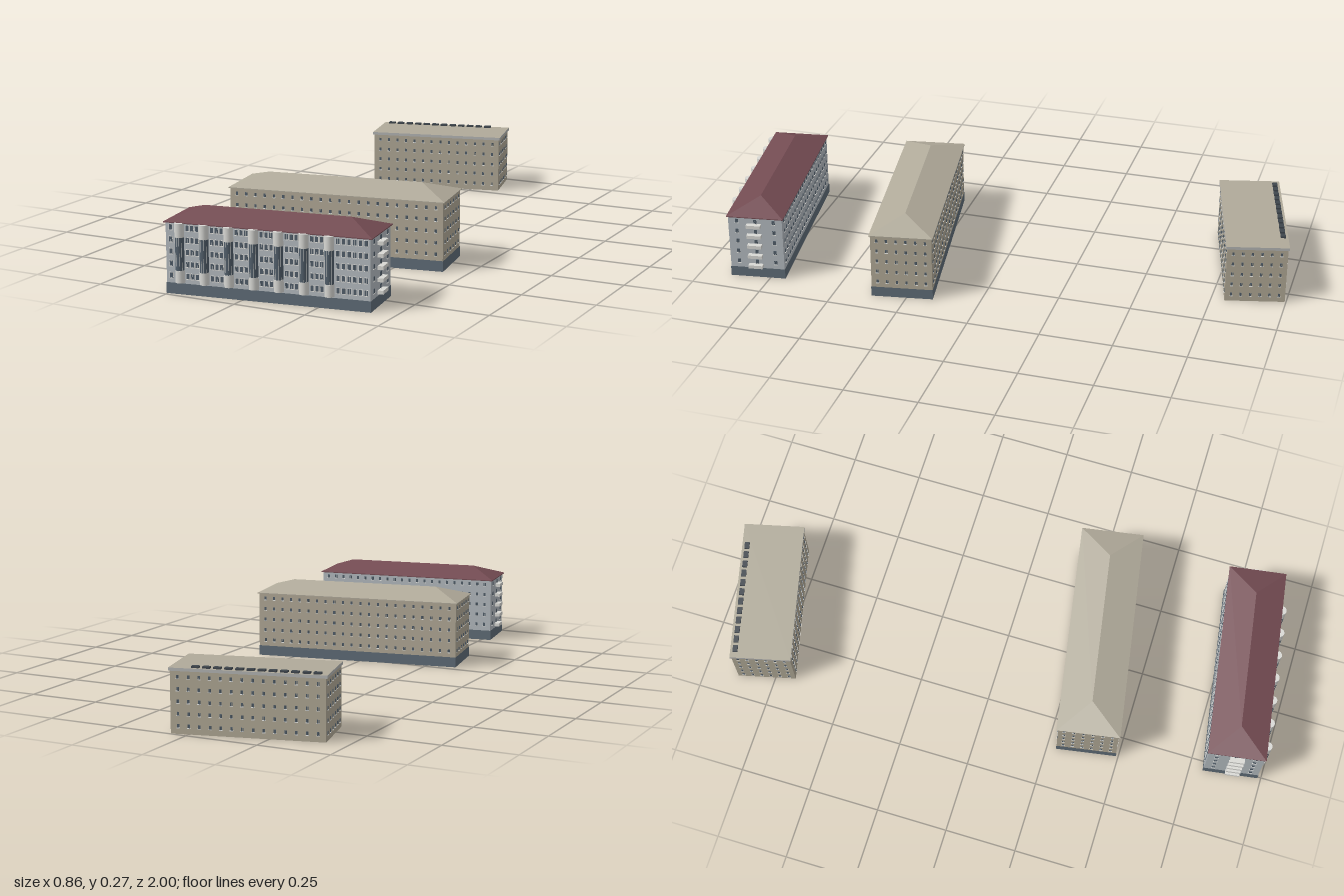
import * as THREE from 'three';
import { mergeGeometries } from 'three/addons/utils/BufferGeometryUtils.js';

const mat = (name, color, side = THREE.FrontSide) => {
  const m = new THREE.MeshStandardMaterial({ color, side });
  m.name = name;
  return m;
};

const FLOOR = 0.039; // storey height

export function createModel() {
  const M = {
    greyWall: mat('blue grey wall', 0xb2b9be, THREE.DoubleSide),
    beigeWall: mat('beige wall', 0xb0a895, THREE.DoubleSide),
    plinth: mat('slate plinth', 0x5e6b76),
    redRoof: mat('dark red roof', 0x734b52, THREE.DoubleSide),
    beigeRoof: mat('beige roof', 0xb0aa9a, THREE.DoubleSide),
    trim: mat('white trim', 0xd8d8d4),
    glass: mat('dark glass', 0x505d69),
    fascia: mat('grey fascia', 0xb4b5b4),
    vent: mat('dark vent', 0x3f464d),
  };

  const add = (group, name, geometry, material) => {
    const mesh = new THREE.Mesh(geometry, material);
    mesh.name = name;
    group.add(mesh);
    return mesh;
  };

  const box = (w, h, d, x, y, z) => new THREE.BoxGeometry(w, h, d).translate(x, y, z);

  // Four outward-facing walls without top or bottom
  const shell = (l, w, y0, y1) => {
    const sides = [];
    for (let i = 0; i < 4; i++) {
      const [width, depth] = i % 2 ? [w, l] : [l, w];
      sides.push(new THREE.PlaneGeometry(width, y1 - y0)
        .translate(0, (y0 + y1) / 2, depth / 2).rotateY(i * Math.PI / 2));
    }
    return mergeGeometries(sides);
  };

  // Hipped roof with a thin eaves edge
  const hipRoof = (l, w, ridge, y0, y1) => {
    const x = l / 2, z = w / 2, r = ridge / 2;
    const a = [-x, y0, z], b = [x, y0, z], c = [x, y0, -z], d = [-x, y0, -z];
    const e = [-r, y1, 0], f = [r, y1, 0];
    const g = new THREE.BufferGeometry();
    g.setAttribute('position', new THREE.Float32BufferAttribute(
      [a, b, f, a, f, e, b, c, f, c, d, e, c, e, f, d, a, e].flat(), 3));
    g.computeVertexNormals();
    const edge = shell(l, w, y0 - 0.003, y0).toNonIndexed();
    edge.deleteAttribute('uv');
    return mergeGeometries([g, edge]);
  };

  // Rows of framed windows on one side; side 0 is the front, then counter-clockwise
  const addWindows = (group, l, w, side, columns, y0, ww, wh, framed) => {
    const depth = (side % 2 ? l : w) / 2;
    const frames = [], panes = [];
    for (let k = 0; k < 5; k++) {
      for (const u of columns) {
        const y = y0 + k * FLOOR;
        if (framed) frames.push(box(ww + 0.003, wh + 0.003, 0.001, u, y, depth + 0.0005));
        frames.push(box(ww + 0.003, 0.002, 0.003, u, y - wh / 2 - 0.001, depth + 0.0015));
        const half = ww / 2 - 0.0006;
        for (const s of [-1, 1])
          panes.push(box(half, wh, 0.0016, u + s * ww / 4, y, depth + 0.0008));
      }
    }
    const turn = side * Math.PI / 2;
    add(group, 'windowFrames', mergeGeometries(frames).rotateY(turn), M.trim);
    add(group, 'windowPanes', mergeGeometries(panes).rotateY(turn), M.glass);
  };

  const spread = (n, span) => Array.from({ length: n }, (_, i) => ((i + 0.5) / n - 0.5) * span);

  const place = (name, x, z, angle) => {
    const g = new THREE.Group();
    g.name = name;
    g.position.set(x, 0, z);
    g.rotation.y = angle;
    return g;
  };

  // Front building: grey walls, red hipped roof, glazed round bays
  const front = place('frontBuilding', 0.068, 0.843, 0.147);
  {
    const L = 0.678, W = 0.19;
    add(front, 'walls', shell(L, W, 0, 0.232), M.greyWall);
    add(front, 'plinth', shell(L + 0.003, W + 0.003, 0, 0.036), M.plinth);
    add(front, 'roof', hipRoof(0.69, 0.2, 0.49, 0.233, 0.271), M.redRoof);

    const bays = Array.from({ length: 7 }, (_, i) => -0.291 + i * 0.083);
    const solid = [], glazed = [];
    const drum = (r, y0, y1, x) =>
      new THREE.CylinderGeometry(r, r, y1 - y0, 20).translate(x, (y0 + y1) / 2, 0.099);
    for (const x of bays) {
      solid.push(drum(0.0155, 0.04, 0.08, x), drum(0.0155, 0.187, 0.232, x));
      glazed.push(drum(0.0145, 0.08, 0.187, x));
      // thin mullions over the glass
      for (const a of [-0.9, -0.3, 0.3, 0.9])
        solid.push(box(0.0008, 0.107, 0.001,
          x + 0.0145 * Math.sin(a), 0.1335, 0.099 + 0.0145 * Math.cos(a)));
    }
    add(front, 'bayDrums', mergeGeometries(solid), M.trim);
    add(front, 'bayGlazing', mergeGeometries(glazed), M.glass);

    // Windows between the bays, then on the right-hand stretch
    const cols = [-0.322];
    for (const x of bays.slice(0, 6)) for (const d of [-0.016, 0, 0.016]) cols.push(x + 0.0415 + d);
    for (let i = 0; i < 6; i++) cols.push(0.234 + i * 0.0182);
    addWindows(front, L, W, 0, cols, 0.06, 0.011, 0.017, true);
    addWindows(front, L, W, 2, spread(22, 0.66), 0.06, 0.009, 0.012, false);

    // Stacked balconies on both ends
    const slabs = [];
    for (const s of [-1, 1]) {
      addWindows(front, L, W, s > 0 ? 1 : 3, [-0.065, 0, 0.065], 0.06, 0.011, 0.014, false);
      for (let k = 0; k < 5; k++)
        slabs.push(box(0.018, 0.012, 0.05, s * (L / 2 + 0.009), 0.046 + k * FLOOR, 0.004));
    }
    add(front, 'balconies', mergeGeometries(slabs), M.trim);
  }

  // Middle building: beige walls and hipped roof
  const middle = place('middleBuilding', 0.03, 0.326, 0.165);
  {
    const L = 0.745, W = 0.21;
    add(middle, 'walls', shell(L, W, 0, 0.233), M.beigeWall);
    add(middle, 'plinth', shell(L + 0.003, W + 0.003, 0, 0.036), M.plinth);
    add(middle, 'roof', hipRoof(0.755, 0.219, 0.54, 0.234, 0.272), M.beigeRoof);
    for (let i = 0; i < 4; i++)
      addWindows(middle, L, W, i, i % 2 ? spread(6, 0.2) : spread(22, 0.73), 0.058, 0.008, 0.011, false);
  }

  // Rear building: beige walls, flat slab roof with a row of vents
  const rear = place('rearBuilding', -0.16, -0.838, 0.236);
  {
    const L = 0.495, W = 0.205;
    add(rear, 'walls', shell(L, W, 0, 0.201), M.beigeWall);
    add(rear, 'roofSlab', box(0.504, 0.01, 0.213, 0, 0.205, 0),
      [M.fascia, M.fascia, M.beigeRoof, M.beigeRoof, M.fascia, M.fascia]);
    const vents = [];
    for (let i = 0; i < 12; i++)
      vents.push(box(0.024, 0.006, 0.017, -0.219 + i * 0.0352, 0.213, -0.089));
    add(rear, 'roofVents', mergeGeometries(vents), M.vent);
    for (let i = 0; i < 4; i++)
      addWindows(rear, L, W, i, i % 2 ? spread(6, 0.195) : spread(14, 0.48), 0.026, 0.008, 0.011, false);
  }

  const model = new THREE.Group();
  model.name = 'buildingComplex';
  model.add(front, middle, rear);
  return model;
}
